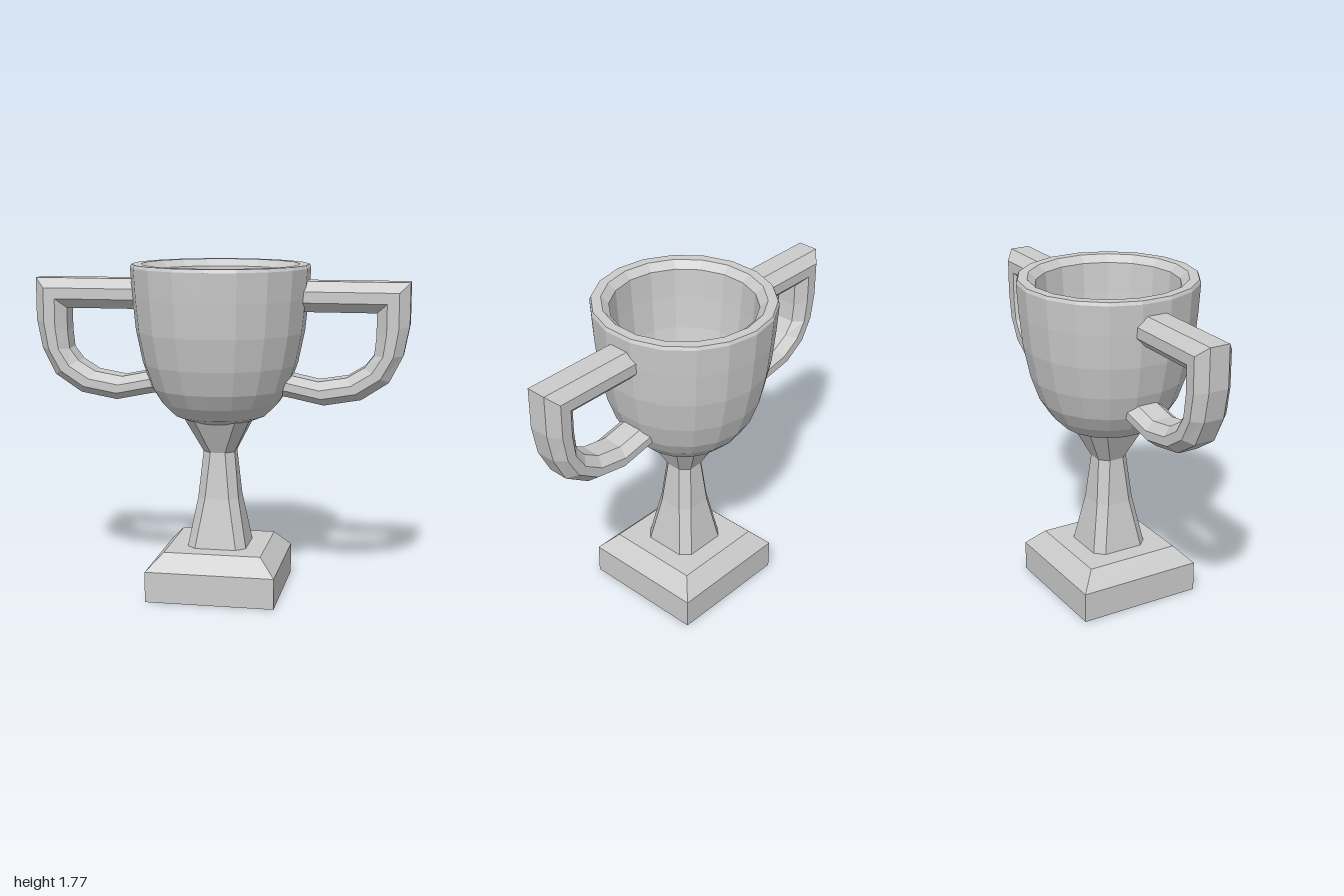
import * as THREE from 'three';

const material = new THREE.MeshStandardMaterial({ color: 0xcccccc, flatShading: true });

function part(name, geometry) {
  const mesh = new THREE.Mesh(geometry, material);
  mesh.name = name;
  return mesh;
}

// Closed skin through equal-sized rings of [x, y, z], capped at both ends
function loft(rings) {
  const n = rings[0].length, last = (rings.length - 1) * n, index = [];
  for (let i = 0; i < rings.length - 1; i++) {
    for (let j = 0; j < n; j++) {
      const a = i * n + j, b = i * n + (j + 1) % n;
      index.push(a, b, b + n, a, b + n, a + n);
    }
  }
  for (let j = 1; j < n - 1; j++) {
    index.push(0, j + 1, j, last, last + j, last + j + 1);
  }
  const geometry = new THREE.BufferGeometry();
  geometry.setAttribute('position', new THREE.Float32BufferAttribute(rings.flat(2), 3));
  geometry.setIndex(index);
  const flat = geometry.toNonIndexed();
  flat.computeVertexNormals();
  return flat;
}

// Horizontal square ring, and the same with cut corners (h: half width, f: half flat)
const square = (h, y) => [[h, y, h], [h, y, -h], [-h, y, -h], [-h, y, h]];
const cutSquare = (h, f, y) => [
  [h, y, f], [h, y, -f], [f, y, -h], [-f, y, -h],
  [-h, y, -f], [-h, y, f], [-f, y, h], [f, y, h],
];

// Handle stations: outer x, y then inner x, y
const handlePath = [
  [0.40, 1.69, 0.40, 1.53], [1.00, 1.69, 0.83, 1.53], [1.00, 1.47, 0.83, 1.41],
  [0.97, 1.31, 0.82, 1.31], [0.90, 1.17, 0.77, 1.245], [0.757, 1.075, 0.68, 1.19],
  [0.56, 1.04, 0.53, 1.165], [0.39, 1.075, 0.36, 1.20], [0.31, 1.09, 0.34, 1.205],
];
// Handle section: fraction from inner to outer edge, and z
const handleSection = [
  [1, -0.055], [1, 0.055], [0.68, 0.105], [0.32, 0.105],
  [0, 0.055], [0, -0.055], [0.32, -0.105], [0.68, -0.105],
];

export function createModel() {
  const model = new THREE.Group();
  model.name = 'trophy';

  // Square plinth with a sloped top edge
  model.add(part('base', loft([square(0.345, 0), square(0.345, 0.165), square(0.26, 0.255)])));

  // Waisted stem flaring into the bowl
  model.add(part('stem', loft([
    cutSquare(0.16, 0.112, 0.25), cutSquare(0.11, 0.065, 0.52),
    cutSquare(0.085, 0.04, 0.77), cutSquare(0.19, 0.12, 0.985),
  ])));

  // Hollow bowl: outside upward, over the rim, down the inside
  const profile = [
    [0, 0.925], [0.17, 0.937], [0.25, 0.97], [0.32, 1.04], [0.37, 1.12], [0.415, 1.25],
    [0.45, 1.42], [0.468, 1.6], [0.478, 1.755], [0.47, 1.772], [0.42, 1.772], [0.38, 1.735],
    [0.37, 1.58], [0.352, 1.4], [0.32, 1.24], [0.26, 1.12], [0.14, 1.045], [0, 1.025],
  ].map(([r, y]) => new THREE.Vector2(r, y));
  model.add(part('cup', new THREE.LatheGeometry(profile, 18)));

  // Matching handles on both sides
  const handle = loft(handlePath.map(([ox, oy, ix, iy]) =>
    handleSection.map(([t, z]) => [ix + (ox - ix) * t, iy + (oy - iy) * t, z])));
  const left = part('leftHandle', handle);
  const right = part('rightHandle', handle);
  right.rotation.y = Math.PI;
  model.add(left, right);

  return model;
}
